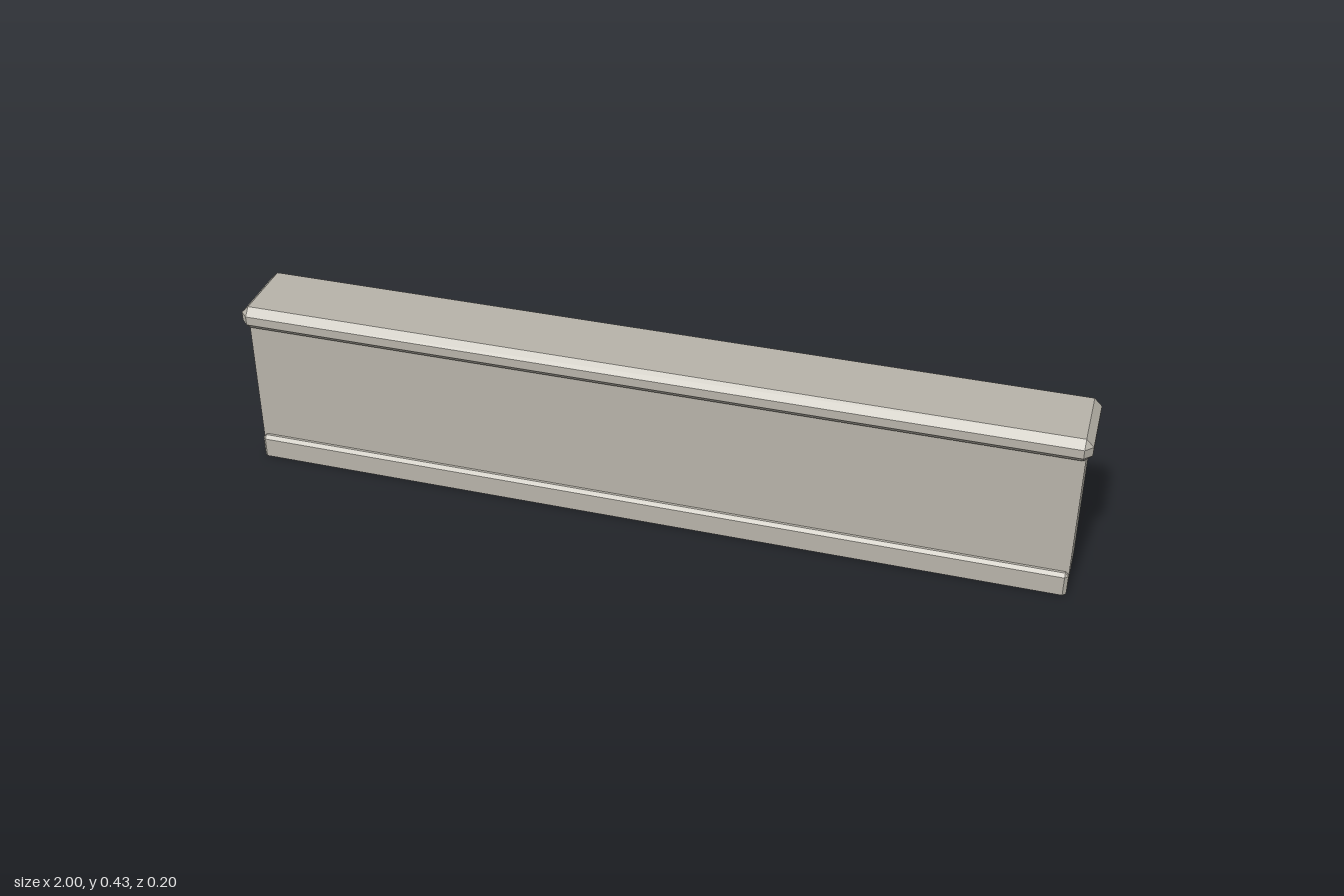
import * as THREE from 'three';
import { ConvexGeometry } from 'three/addons/geometries/ConvexGeometry.js';

const stone = new THREE.MeshStandardMaterial({ color: 0xb8b4aa, side: THREE.DoubleSide });
stone.name = 'warm grey stone';

function add(parent, name, geometry) {
  const mesh = new THREE.Mesh(geometry, stone);
  mesh.name = name;
  parent.add(mesh);
  return mesh;
}

// Box with every edge and corner chamfered
function chamferedBox(w, h, d, c) {
  const points = [];
  for (const x of [-w / 2, w / 2]) for (const y of [-h / 2, h / 2]) for (const z of [-d / 2, d / 2]) {
    const ix = x - Math.sign(x) * c, iy = y - Math.sign(y) * c, iz = z - Math.sign(z) * c;
    points.push(new THREE.Vector3(x, iy, iz), new THREE.Vector3(ix, y, iz), new THREE.Vector3(ix, iy, z));
  }
  return new ConvexGeometry(points);
}

// Flat faces from polygons, corners counter-clockwise
function faces(polygons) {
  const pos = [];
  for (const p of polygons)
    for (let i = 1; i < p.length - 1; i++) pos.push(...p[0], ...p[i], ...p[i + 1]);
  const g = new THREE.BufferGeometry();
  g.setAttribute('position', new THREE.Float32BufferAttribute(pos, 3));
  g.computeVertexNormals();
  return g;
}

// Open skirting shell: front, top and chamfers, no ends or back
function skirtingGeometry() {
  const X = 0.987, x = 0.979, Y = 0.058, y = 0.05, Z = 0.09, z = 0.082, wall = 0.076;
  const polygons = [
    [[-x, 0, Z], [x, 0, Z], [x, y, Z], [-x, y, Z]],
    [[-x, y, Z], [x, y, Z], [x, Y, z], [-x, Y, z]],
    [[-x, Y, z], [x, Y, z], [x, Y, wall], [-x, Y, wall]],
  ];
  for (const s of [1, -1]) {
    const end = [
      [[x, 0, Z], [X, 0, z], [X, y, z], [x, y, Z]],
      [[x, y, Z], [X, y, z], [x, Y, z]],
      [[x, Y, z], [X, y, z], [X, y, wall], [x, Y, wall]],
    ];
    for (const p of end) {
      const q = p.map(([a, b, c]) => [a * s, b, c]);
      polygons.push(s > 0 ? q : q.reverse());
    }
  }
  return faces(polygons);
}

export function createModel() {
  const model = new THREE.Group();
  model.name = 'lowWall';
  const length = 1.974, height = 0.37, depth = 0.152, recess = 0.058;

  // Wall panels, open underneath
  const body = new THREE.Group();
  body.name = 'wallBody';
  model.add(body);
  for (const s of [1, -1]) {
    const turn = s > 0 ? 0 : Math.PI;
    const side = add(body, s > 0 ? 'frontPanel' : 'backPanel', new THREE.PlaneGeometry(length, height));
    side.position.set(0, height / 2, s * depth / 2);
    side.rotation.y = turn;
    const end = add(body, s > 0 ? 'leftEnd' : 'rightEnd', new THREE.PlaneGeometry(depth, height));
    end.position.set(s * length / 2, height / 2, 0);
    end.rotation.y = s * Math.PI / 2;
    // Skirting along both long sides
    add(model, s > 0 ? 'frontSkirting' : 'backSkirting', skirtingGeometry()).rotation.y = turn;
  }

  // Recessed underside
  const underside = add(body, 'underside', new THREE.PlaneGeometry(length, depth));
  underside.rotation.x = Math.PI / 2;
  underside.position.y = recess;

  // Chamfered coping along the top
  add(model, 'coping', chamferedBox(2, 0.058, 0.2, 0.018)).position.y = 0.398;
  return model;
}
